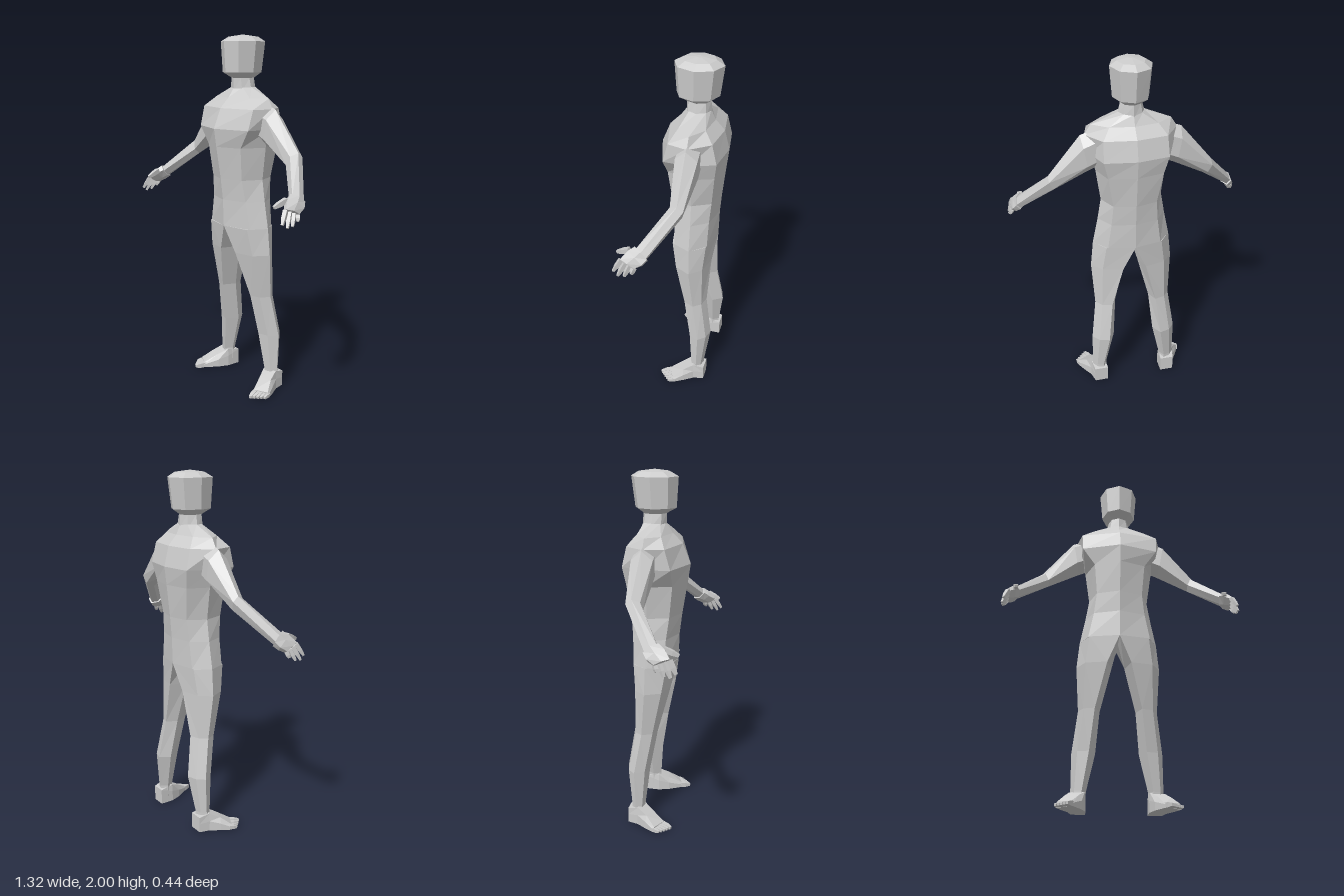
import * as THREE from 'three';

const material = new THREE.MeshStandardMaterial({ color: 0xcccccc, flatShading: true });
const V = (x, y, z) => new THREE.Vector3(x, y, z);

// Skin a list of equal-length point rings into a closed, outward-facing mesh
function loft(name, rings) {
  const tris = [];
  const n = rings[0].length;
  for (let i = 0; i < rings.length - 1; i++) {
    for (let j = 0; j < n; j++) {
      const k = (j + 1) % n;
      const [a, b, c, d] = [rings[i][j], rings[i][k], rings[i + 1][k], rings[i + 1][j]];
      tris.push([a, b, c], [a, c, d]);
    }
  }
  const last = rings[rings.length - 1];
  for (let j = 1; j < n - 1; j++) {
    tris.push([rings[0][0], rings[0][j + 1], rings[0][j]], [last[0], last[j], last[j + 1]]);
  }
  // signed volume decides the winding, so mirrored parts come out right too
  const origin = rings[0][0];
  let volume = 0;
  for (const t of tris) {
    const [a, b, c] = t.map((p) => p.clone().sub(origin));
    volume += a.dot(b.cross(c));
  }
  const points = tris.flatMap((t) => (volume < 0 ? [t[0], t[2], t[1]] : t));
  const geometry = new THREE.BufferGeometry().setFromPoints(points);
  geometry.computeVertexNormals();
  const mesh = new THREE.Mesh(geometry, material);
  mesh.name = name;
  return mesh;
}

// Elliptical ring around c, spanned by the half-axes u and v
function ring(c, u, v, n) {
  return Array.from({ length: n }, (_, i) => {
    const a = (i / n) * Math.PI * 2;
    return c.clone().addScaledVector(u, Math.cos(a)).addScaledVector(v, Math.sin(a));
  });
}

// Thin four-sided digit tapering from base to tip
function digit(name, base, tip, r) {
  const d = tip.clone().sub(base).normalize();
  const u = V(0, 1, 0).cross(d).normalize();
  const v = d.clone().cross(u);
  const section = (t, s) => {
    const c = base.clone().lerp(tip, t);
    return [[1, 1], [-1, 1], [-1, -1], [1, -1]].map(([p, q]) =>
      c.clone().addScaledVector(u, p * r * s).addScaledVector(v, q * r * s));
  };
  return loft(name, [section(0, 1), section(0.55, 0.95), section(1, 0.55)]);
}

function torso() {
  // y, front centre z, front corner x z, side x z, back corner x z, back centre z
  const rows = [
    [0.95, 0.08, 0.175, 0.035, 0.22, -0.06, 0.15, -0.145, -0.175],
    [1.10, 0.085, 0.145, 0.04, 0.19, -0.06, 0.13, -0.15, -0.18],
    [1.22, 0.10, 0.13, 0.055, 0.17, -0.06, 0.12, -0.16, -0.19],
    [1.40, 0.13, 0.145, 0.075, 0.195, -0.06, 0.15, -0.18, -0.21],
    [1.50, 0.145, 0.215, 0.08, 0.225, -0.06, 0.175, -0.195, -0.222],
    [1.61, 0.10, 0.22, 0.05, 0.25, -0.06, 0.17, -0.17, -0.195],
    [1.665, 0.045, 0.15, 0.015, 0.215, -0.06, 0.13, -0.125, -0.145],
    [1.72, 0.005, 0.05, -0.015, 0.07, -0.06, 0.05, -0.105, -0.12],
  ];
  return loft('torso', rows.map(([y, fz, cx, cz, sx, sz, bx, bz, bc]) => [
    V(0, y, fz), V(cx, y, cz), V(sx, y, sz), V(bx, y, bz),
    V(0, y, bc), V(-bx, y, bz), V(-sx, y, sz), V(-cx, y, cz),
  ]));
}

function head() {
  // y, half width, front z, back z
  const rows = [
    [1.70, 0.075, 0.01, -0.125], [1.77, 0.058, 0.01, -0.12], [1.80, 0.098, 0.065, -0.165],
    [1.965, 0.112, 0.075, -0.187], [1.99, 0.075, 0.03, -0.145], [2.0, 0.015, -0.04, -0.07],
  ];
  return loft('headAndNeck', rows.map(([y, w, f, b]) =>
    ring(V(0, y, (f + b) / 2), V(0, 0, (f - b) / 2), V(w, 0, 0), 8)));
}

function leg(s) {
  const group = new THREE.Group();
  group.name = s > 0 ? 'leftLeg' : 'rightLeg';
  // y, outer x, inner x, front z, back z, width share of the inner corners
  const rows = [
    [0.95, 0.22, 0, 0.08, -0.175, 0], [0.80, 0.235, 0.037, 0.05, -0.155, 0.15],
    [0.55, 0.22, 0.10, -0.01, -0.145, 0.25], [0.32, 0.25, 0.12, -0.05, -0.18, 0.28],
    [0.11, 0.25, 0.167, -0.07, -0.15, 0.28], [0.04, 0.25, 0.167, -0.07, -0.15, 0.28],
  ];
  group.add(loft('legLimb', rows.map(([y, xo, xi, f, b, k]) => {
    const at = (t) => s * (xi + (xo - xi) * t);
    const mid = f * 0.45 + b * 0.55;
    const inset = (f - b) * 0.13;
    return [V(at(1), y, mid), V(at(0.76), y, f - inset), V(at(k), y, f),
      V(at(0), y, mid), V(at(k), y, b), V(at(0.72), y, b + inset)];
  })));

  // Foot: inner x z, outer x z, height, width share of the top
  const foot = [
    [0.167, -0.16, 0.245, -0.16, 0.09, 1], [0.168, -0.08, 0.26, -0.10, 0.105, 0.9],
    [0.19, -0.02, 0.295, -0.045, 0.075, 0.7], [0.235, 0.055, 0.325, 0.01, 0.03, 0.85],
  ];
  group.add(loft('foot', foot.map(([xi, zi, xo, zo, h, k]) => {
    const at = (t, y) => V(s * (xi + (xo - xi) * t), y, zi + (zo - zi) * t);
    const e = (1 - k) / 2;
    return [at(0, 0), at(1, 0), at(1, h * 0.55), at(1 - e, h), at(e, h), at(0, h * 0.6)];
  })));
  for (let i = 0; i < 5; i++) {
    const t = i / 4;
    group.add(digit('toe', V(s * (0.243 + 0.07 * t), 0.015, 0.035 - 0.035 * t),
      V(s * (0.268 + 0.058 * t), 0.008, 0.1 - 0.055 * t), 0.014 - 0.004 * t));
  }
  return group;
}

function arm(s) {
  const group = new THREE.Group();
  group.name = s > 0 ? 'leftArm' : 'rightArm';
  const M = (x, y, z) => V(s * x, y, z);
  // Shoulder, elbow and wrist sections
  group.add(loft('armLimb', [
    ring(M(0.19, 1.53, -0.06), M(0, 0.11, 0), M(0, 0, 0.065), 6),
    ring(M(0.255, 1.505, -0.06), M(0.018, 0.105, 0), M(0, 0, 0.068), 6),
    ring(M(0.43, 1.353, -0.055), M(0.02, 0.045, -0.01), M(-0.01, 0.005, 0.042), 6),
    ring(M(0.6, 1.185, 0.08), M(0.018, 0.022, -0.004), M(-0.013, 0.018, 0.034), 6),
  ]));
  // Palm, flat and wider than the wrist
  const knuckle = M(0.632, 1.14, 0.14);
  const across = M(-0.008, 0.018, 0.045);
  group.add(loft('palm', [
    ring(M(0.594, 1.19, 0.078), M(0.022, 0.026, -0.004), M(-0.018, 0.025, 0.042), 6),
    ring(M(0.612, 1.168, 0.105), M(0.02, 0.02, -0.004), M(-0.02, 0.027, 0.048), 6),
    ring(knuckle, M(0.014, 0.012, -0.002), across, 6),
  ]));
  // Index to little finger, then the thumb
  const tips = [[0.645, 1.09, 0.213], [0.653, 1.072, 0.187], [0.653, 1.075, 0.153], [0.65, 1.095, 0.115]];
  tips.forEach((tip, i) => {
    group.add(digit('finger', knuckle.clone().addScaledVector(across, 0.78 - i * 0.52), M(...tip), 0.011));
  });
  group.add(digit('thumb', M(0.59, 1.197, 0.14), M(0.58, 1.165, 0.212), 0.013));
  return group;
}

export function createModel() {
  const model = new THREE.Group();
  model.name = 'figure';
  model.add(torso(), head());
  for (const s of [1, -1]) model.add(leg(s), arm(s));
  return model;
}
